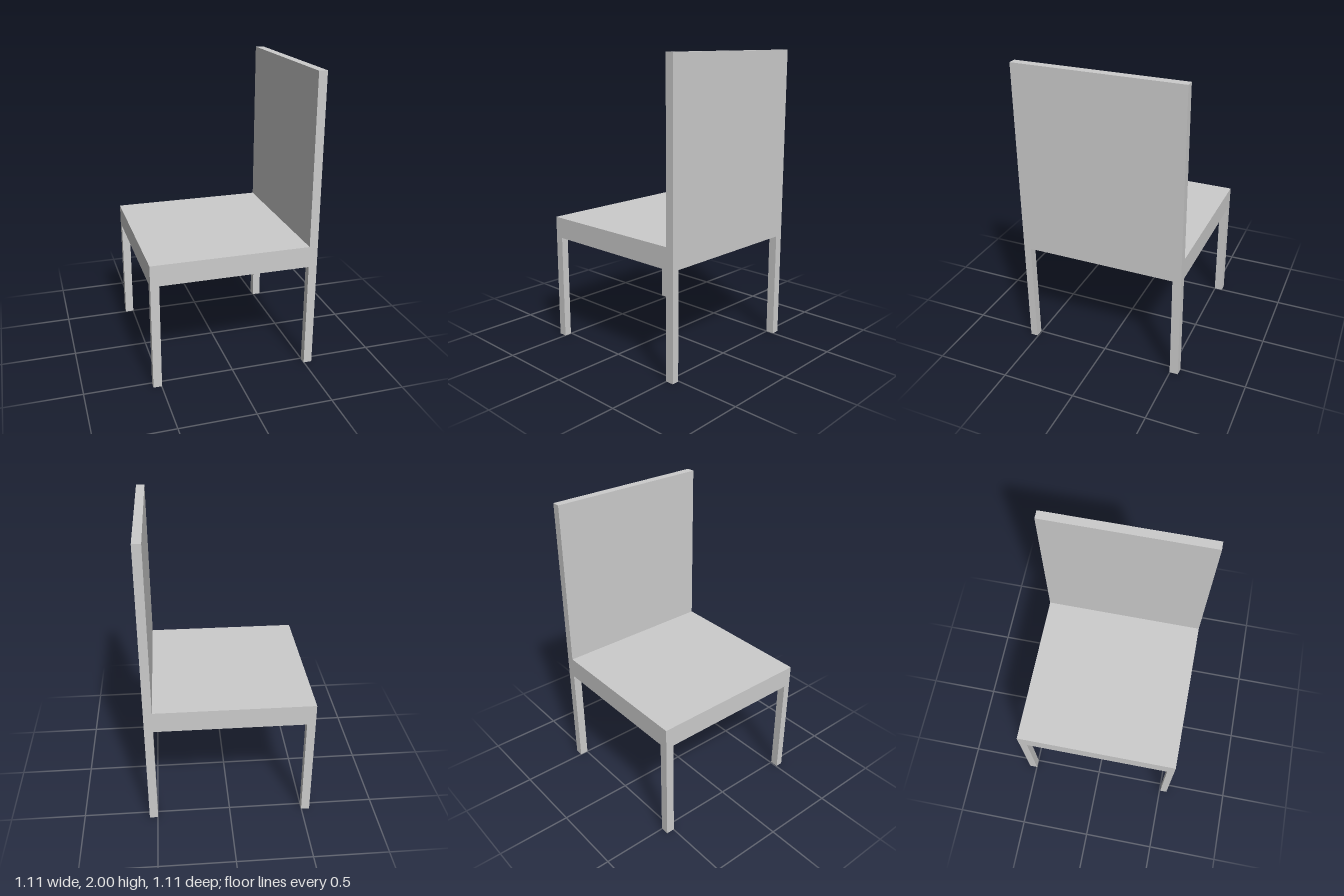
import * as THREE from 'three';

const HALF = 0.555; // half width and half depth of the chair
const SEAT_BOTTOM = 0.725;
const SEAT_TOP = 0.867;
const BACK_INNER = 0.498;

export function createModel() {
  const chair = new THREE.Group();
  chair.name = 'chair';
  const material = new THREE.MeshStandardMaterial({ color: 0xcccccc });

  // Box given by its limits on each axis
  const addBox = (name, [x0, x1], [y0, y1], [z0, z1]) => {
    const mesh = new THREE.Mesh(new THREE.BoxGeometry(x1 - x0, y1 - y0, z1 - z0), material);
    mesh.position.set((x0 + x1) / 2, (y0 + y1) / 2, (z0 + z1) / 2);
    mesh.name = name;
    chair.add(mesh);
  };

  // Seat slab, with the backrest standing on its +x edge
  addBox('seat', [-HALF, HALF], [SEAT_BOTTOM, SEAT_TOP], [-HALF, HALF]);
  addBox('backrest', [BACK_INNER, HALF], [SEAT_TOP, 2], [-HALF, HALF]);

  // Square legs flush with the four corners
  const xSpans = { seatFront: [-HALF, -0.498], seatBack: [BACK_INNER, HALF] };
  const zSpans = { Right: [0.506, HALF], Left: [-HALF, -0.498] };
  for (const [end, xs] of Object.entries(xSpans)) {
    for (const [side, zs] of Object.entries(zSpans)) {
      addBox(`${end}${side}Leg`, xs, [0, SEAT_BOTTOM], zs);
    }
  }
  return chair;
}
